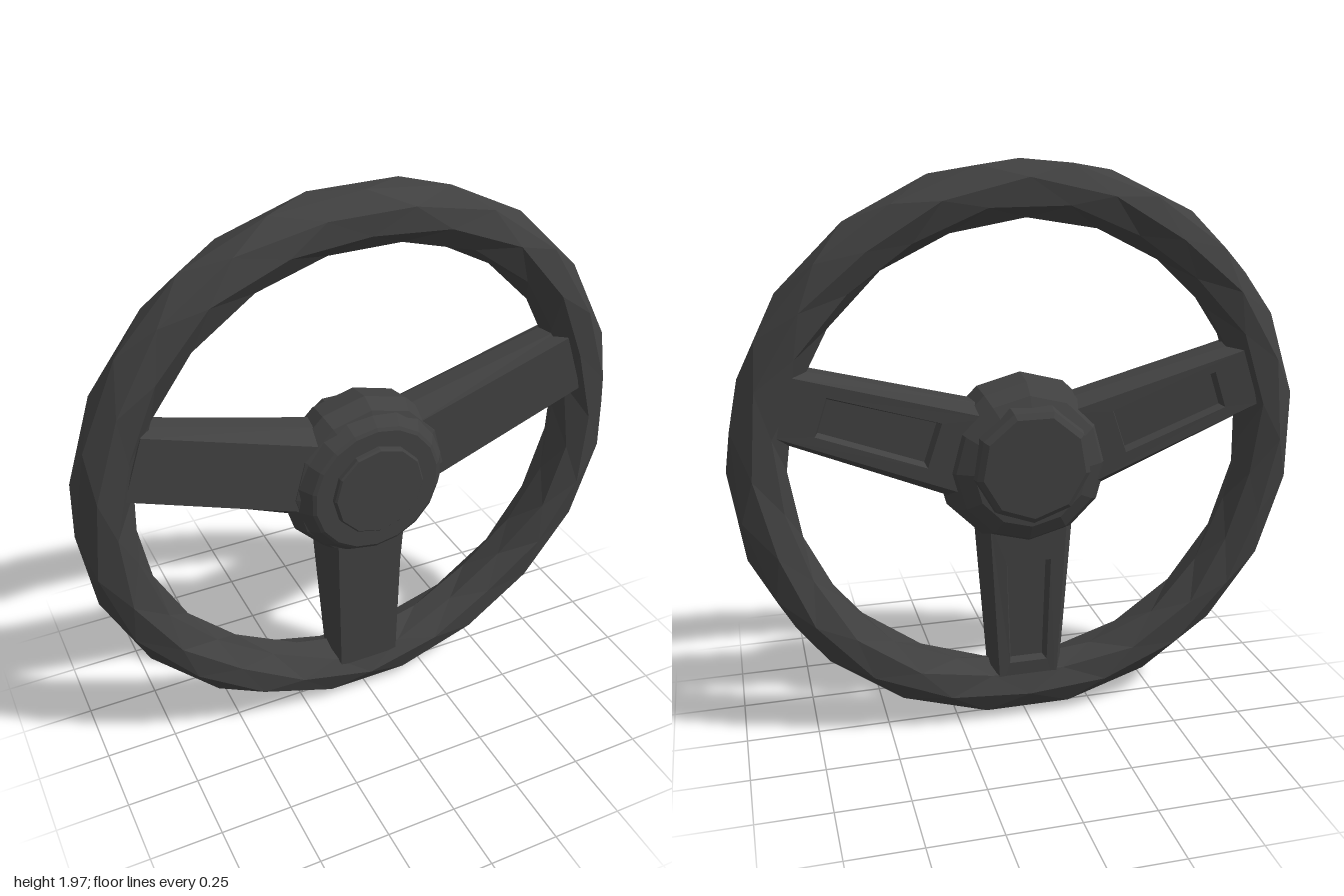
import * as THREE from 'three';

const black = new THREE.MeshStandardMaterial({ color: 0x404040 });
black.name = 'charcoal';

// Splits shared corners so that every facet is flat
function faceted(geometry) {
  const g = geometry.index ? geometry.toNonIndexed() : geometry;
  g.computeVertexNormals();
  return g;
}

function indexed(positions, index) {
  const g = new THREE.BufferGeometry();
  g.setAttribute('position', new THREE.Float32BufferAttribute(positions, 3));
  g.setIndex(index);
  return faceted(g);
}

function part(name, geometry, y) {
  const mesh = new THREE.Mesh(geometry, black);
  mesh.name = name;
  mesh.position.y = y;
  return mesh;
}

// Faceted oval ring; rows of corners are staggered and sway around the grip
function rimGeometry(radiusX, radiusY, radial, depth, segments, rows) {
  const positions = [], index = [];
  const id = (i, j) => (j % rows) * segments + (i % segments);
  for (let j = 0; j < rows; j++) {
    for (let i = 0; i < segments; i++) {
      const u = ((i + (j % 2) / 2) / segments) * Math.PI * 2;
      const v = ((j + 0.25 + 0.3 * Math.sin(5 * u)) / rows) * Math.PI * 2;
      const r = radial * Math.cos(v);
      positions.push((radiusX + r) * Math.cos(u), (radiusY + r) * Math.sin(u), depth * Math.sin(v));
      const a = id(i, j), b = id(i + 1, j), c = id(i + 1, j + 1), d = id(i, j + 1);
      if (j % 2 === 0) index.push(a, b, d, b, c, d);
      else index.push(a, b, c, a, c, d);
    }
  }
  return indexed(positions, index);
}

// Spoke along +x, lofted from the front face round to the pocket floor at the back
// Each ring: [inner radius, outer radius, inner half width, outer half width, inner z, outer z]
function spokeGeometry() {
  const rings = [
    [0.18, 0.85, 0.125, 0.112, 0.094, 0.084],
    [0.18, 0.86, 0.172, 0.122, 0.03, 0.03],
    [0.18, 0.86, 0.172, 0.122, -0.035, -0.035],
    [0.18, 0.85, 0.138, 0.102, -0.085, -0.08],
    [0.34, 0.73, 0.08, 0.068, -0.085, -0.08],
    [0.35, 0.72, 0.07, 0.058, -0.05, -0.05],
  ];
  const positions = [], index = [0, 1, 2, 0, 2, 3];
  rings.forEach(([r0, r1, w0, w1, z0, z1], k) => {
    positions.push(r0, -w0, z0, r1, -w1, z1, r1, w1, z1, r0, w0, z0);
    if (k === 0) return;
    for (let i = 0; i < 4; i++) {
      const n = (i + 1) % 4, top = (k - 1) * 4, low = k * 4;
      index.push(low + i, low + n, top + n, low + i, top + n, top + i);
    }
  });
  const e = (rings.length - 1) * 4;
  index.push(e, e + 2, e + 1, e, e + 3, e + 2);
  return indexed(positions, index);
}

// Turned part facing +z, from [radius, z] points listed back to front
function turned(points, sides) {
  const profile = points.map(([r, z]) => new THREE.Vector2(r, z));
  return faceted(new THREE.LatheGeometry(profile, sides).rotateX(Math.PI / 2));
}

export function createModel() {
  const model = new THREE.Group();
  model.name = 'steeringWheel';

  model.add(part('rim', rimGeometry(0.902, 0.892, 0.099, 0.107, 20, 8), 0.99));

  // Three spokes
  const spoke = spokeGeometry();
  const spokes = { leftSpoke: 18.5, rightSpoke: 161.5, lowerSpoke: 270 };
  for (const [name, degrees] of Object.entries(spokes)) {
    const mesh = part(name, spoke, 0.95);
    mesh.rotation.z = THREE.MathUtils.degToRad(degrees);
    model.add(mesh);
  }

  // Hub body, front plate and centre button, rear mount
  model.add(
    part('hub', turned([[0, -0.13], [0.2, -0.13], [0.255, -0.1], [0.292, -0.05],
      [0.305, 0.04], [0.278, 0.095], [0.24, 0.11]], 12), 0.957),
    part('frontPlate', turned([[0.275, 0.09], [0.24, 0.138], [0.228, 0.145],
      [0, 0.145]], 18), 0.952),
    part('centreButton', turned([[0.168, 0.13], [0.166, 0.16], [0.16, 0.166], [0, 0.166]], 12), 0.957),
    part('rearMount', turned([[0, -0.17], [0.18, -0.17], [0.2, -0.155], [0.21, -0.11]], 9), 0.98),
  );
  return model;
}
